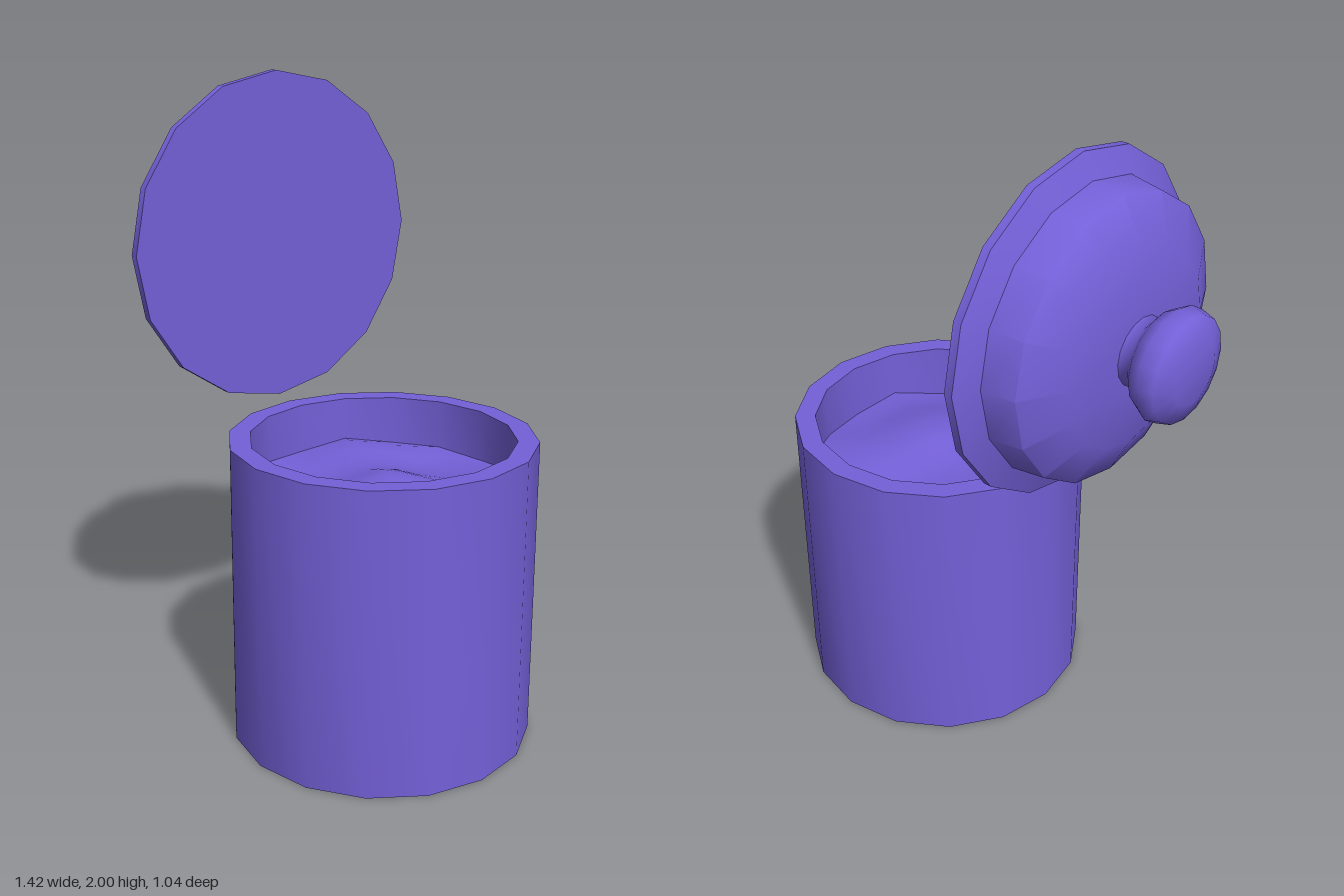
import * as THREE from 'three';
import { toCreasedNormals, mergeVertices } from 'three/addons/utils/BufferGeometryUtils.js';

const SIDES = 16;
const material = new THREE.MeshStandardMaterial({ color: 0x7460d8 });

// Turned part from [radius, height] pairs, smooth around and sharp at hard corners
function turned(name, profile, crease) {
  const points = profile.map(([r, y]) => new THREE.Vector2(r, y));
  const geometry = toCreasedNormals(new THREE.LatheGeometry(points, SIDES), crease);
  const mesh = new THREE.Mesh(geometry, material);
  mesh.name = name;
  return mesh;
}

// Uneven surface of the jar's filling
function createContents() {
  let geometry = new THREE.RingGeometry(0, 0.405, SIDES, 6);
  geometry.rotateX(-Math.PI / 2);
  const pos = geometry.attributes.position;
  for (let i = 0; i < pos.count; i++) {
    const x = pos.getX(i), z = pos.getZ(i);
    const mound = 0.04 * (1 - Math.hypot(x, z) / 0.405);
    const ripples = 0.016 * Math.sin(13 * x + 5 * z) + 0.014 * Math.cos(14 * z - 6 * x);
    pos.setY(i, mound + ripples);
  }
  geometry.deleteAttribute('uv');
  geometry.deleteAttribute('normal');
  geometry = mergeVertices(geometry);
  geometry.computeVertexNormals();
  const mesh = new THREE.Mesh(geometry, material);
  mesh.name = 'contents';
  mesh.position.y = 0.79;
  return mesh;
}

export function createModel() {
  const model = new THREE.Group();
  model.name = 'jarWithLid';

  // Jar: outer wall, flat rim and hollow inside
  const jar = new THREE.Group();
  jar.name = 'jar';
  jar.position.x = 0.24;
  jar.add(
    turned('jarBody', [[0, 0], [0.47, 0], [0.47, 0.95], [0.405, 0.95], [0.405, 0.7], [0, 0.7]], 0.6),
    createContents()
  );
  model.add(jar);

  // Lid: raised beside the jar, its axis lying along x with the knob outward
  const lid = new THREE.Group();
  lid.name = 'lid';
  lid.position.set(-0.285, 1.48, 0);
  lid.rotation.z = Math.PI / 2;
  lid.add(
    turned('lidCover', [
      [0, 0], [0.52, 0], [0.52, 0.027], [0.445, 0.06],
      [0.43, 0.167], [0.297, 0.237], [0.105, 0.25], [0, 0.25]
    ], 0.97),
    turned('knob', [
      [0.105, 0.249], [0.105, 0.282], [0.145, 0.315], [0.17, 0.36],
      [0.157, 0.405], [0.092, 0.43], [0, 0.43]
    ], 1.25)
  );
  model.add(lid);

  return model;
}
